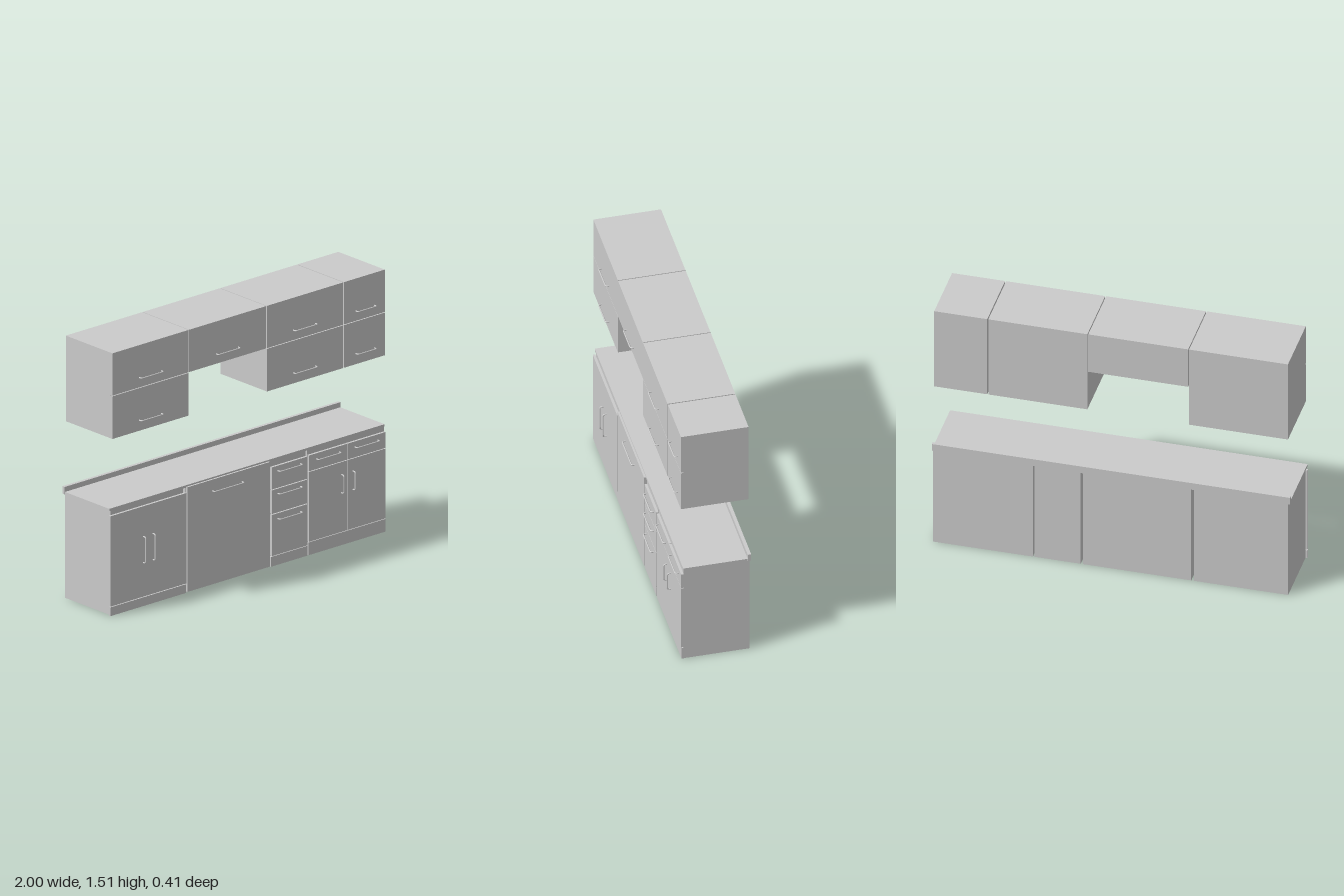
import * as THREE from 'three';

const material = new THREE.MeshStandardMaterial({ color: 0xcccccc });

// Box given by its limits on each axis
function slab(parent, name, x0, x1, y0, y1, z0, z1) {
  const mesh = new THREE.Mesh(new THREE.BoxGeometry(x1 - x0, y1 - y0, z1 - z0), material);
  mesh.name = name;
  mesh.position.set((x0 + x1) / 2, (y0 + y1) / 2, (z0 + z1) / 2);
  parent.add(mesh);
  return mesh;
}

// Bow handle: two short posts joined by a straight bar with rounded bends
function handle(parent, x, y, length, vertical = false) {
  const h = length / 2, r = 0.012, depth = 0.019;
  const v = (px, pz) => new THREE.Vector3(px, 0, pz);
  const path = new THREE.CurvePath();
  path.add(new THREE.LineCurve3(v(-h, -0.002), v(-h, depth - r)));
  path.add(new THREE.QuadraticBezierCurve3(v(-h, depth - r), v(-h, depth), v(-h + r, depth)));
  path.add(new THREE.LineCurve3(v(-h + r, depth), v(h - r, depth)));
  path.add(new THREE.QuadraticBezierCurve3(v(h - r, depth), v(h, depth), v(h, depth - r)));
  path.add(new THREE.LineCurve3(v(h, depth - r), v(h, -0.002)));
  const mesh = new THREE.Mesh(new THREE.TubeGeometry(path, 60, 0.004, 8), material);
  mesh.name = 'handle';
  mesh.position.set(x, y, FRONT);
  if (vertical) mesh.rotation.z = Math.PI / 2;
  parent.add(mesh);
}

const FRONT = 0.184; // outer face of all doors
const CARCASS = 0.17; // front edge of cabinet bodies
const BACK = -0.192;

function unit(root, name) {
  const g = new THREE.Group();
  g.name = name;
  root.add(g);
  return g;
}

export function createModel() {
  const root = new THREE.Group();
  root.name = 'kitchenCabinets';

  // Wall cabinets: x range, bottom, handle centre and length
  const wall = [
    [-0.985, -0.433, 1.015, -0.71, 0.16],
    [-0.428, 0.13, 1.262, -0.152, 0.16],
    [0.135, 0.688, 1.015, 0.407, 0.16],
    [0.694, 0.99, 1.015, 0.847, 0.135],
  ];
  for (const [x0, x1, bottom, hx, length] of wall) {
    const g = unit(root, 'wallCabinet');
    slab(g, 'wallCarcass', x0, x1, bottom, 1.507, BACK, CARCASS);
    slab(g, 'upperDoor', x0, x1, 1.264, 1.507, CARCASS, FRONT);
    handle(g, hx, 1.32, length);
    if (bottom < 1.2) {
      slab(g, 'lowerDoor', x0, x1, bottom, 1.26, CARCASS, FRONT);
      handle(g, hx, 1.075, length);
    }
  }

  // Base carcasses, with narrow gaps between them
  const base = [[-0.987, -0.462], [-0.446, 0.157], [0.171, 0.428], [0.438, 0.995]];
  for (const [x0, x1] of base) slab(root, 'baseCarcass', x0, x1, 0, 0.6, BACK - 0.004, CARCASS);

  // Double-door unit on the right
  const sink = unit(root, 'doubleDoorFront');
  slab(sink, 'door', -0.998, -0.447, 0.055, 0.574, CARCASS, FRONT);
  slab(sink, 'plinth', -0.998, -0.45, 0, 0.05, CARCASS, FRONT - 0.002);
  for (const x of [-0.76, -0.69]) handle(sink, x, 0.325, 0.15, true);

  // Full-height appliance panel
  const panel = unit(root, 'applianceFront');
  slab(panel, 'appliancePanel', -0.442, 0.157, 0.004, 0.605, CARCASS, FRONT);
  handle(panel, -0.152, 0.54, 0.215);

  // Three-drawer unit
  const drawers = unit(root, 'drawerFront');
  for (const [y0, y1, hy] of [[0.443, 0.57, 0.54], [0.302, 0.438, 0.41], [0.06, 0.297, 0.265]]) {
    slab(drawers, 'drawer', 0.171, 0.43, y0, y1, CARCASS, FRONT);
    handle(drawers, 0.297, hy, 0.165);
  }
  slab(drawers, 'plinth', 0.165, 0.43, 0, 0.056, CARCASS, FRONT - 0.002);

  // Unit with two drawers above two doors
  const mixed = unit(root, 'drawerAndDoorFront');
  for (const [x0, x1, hx, dx] of [[0.441, 0.716, 0.577, 0.677], [0.72, 0.996, 0.856, 0.76]]) {
    slab(mixed, 'drawer', x0, x1, 0.482, 0.573, CARCASS, FRONT);
    slab(mixed, 'door', x0, x1, 0.077, 0.478, CARCASS, FRONT);
    handle(mixed, hx, 0.54, 0.165);
    handle(mixed, dx, 0.353, 0.105, true);
  }
  slab(mixed, 'plinth', 0.438, 0.997, 0, 0.073, CARCASS, FRONT - 0.002);

  // Worktop and upstand
  slab(root, 'worktop', -0.998, 0.998, 0.6, 0.614, -0.19, 0.173);
  slab(root, 'upstand', -1, 1, 0.6, 0.643, -0.204, -0.185);

  return root;
}
